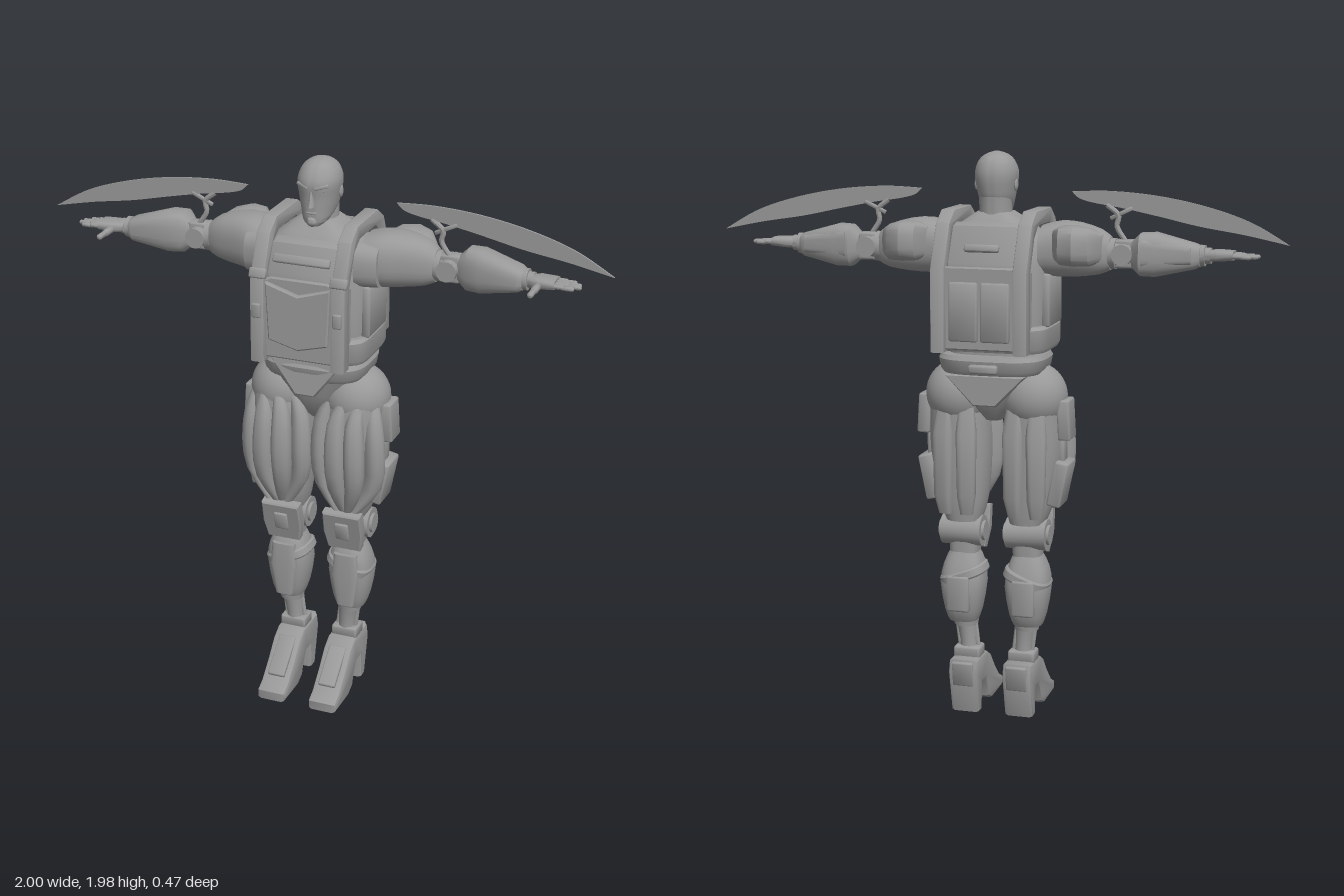
import * as THREE from 'three';
import { toCreasedNormals } from 'three/addons/utils/BufferGeometryUtils.js';
import { RoundedBoxGeometry } from 'three/addons/geometries/RoundedBoxGeometry.js';

const gray = new THREE.MeshStandardMaterial({ color: 0x999999 });
gray.name = 'plain gray';

// Catmull-Rom blend of one column of a section table
const blend = (a, b, c, d, t) =>
  b + 0.5 * t * (c - a + t * (2 * a - 5 * b + 4 * c - d + t * (3 * (b - c) + d - a)));

function refine(rows, steps) {
  const out = [], last = rows.length - 1;
  for (let i = 0; i < last; i++) for (let k = 0; k < steps; k++)
    out.push(rows[i].map((v, c) => blend(rows[Math.max(i - 1, 0)][c], v, rows[i + 1][c], rows[Math.min(i + 2, last)][c], k / steps)));
  out.push(rows[last]);
  return out;
}

// Superellipse loft up y; rows are [y, centreX, centreZ, radiusX, radiusZ]
function loft(rows, power = 2, segs = 24, steps = 1) {
  const secs = refine(rows, steps), pos = [], idx = [];
  const bend = (v) => Math.sign(v) * Math.pow(Math.abs(v), 2 / power);
  for (const [y, cx, cz, rx, rz] of secs) for (let j = 0; j < segs; j++) {
    const a = ((j + 0.5) / segs) * Math.PI * 2;
    pos.push(cx + rx * bend(Math.cos(a)), y, cz + rz * bend(Math.sin(a)));
  }
  const n = secs.length, at = (i, j) => i * segs + (j % segs);
  for (let i = 0; i < n - 1; i++) for (let j = 0; j < segs; j++) {
    idx.push(at(i, j), at(i + 1, j), at(i, j + 1), at(i, j + 1), at(i + 1, j), at(i + 1, j + 1));
  }
  const low = secs[0], top = secs[n - 1], c = n * segs;
  pos.push(low[1], low[0], low[2], top[1], top[0], top[2]);
  for (let j = 0; j < segs; j++) idx.push(c, at(0, j), at(0, j + 1), c + 1, at(n - 1, j + 1), at(n - 1, j));
  const g = new THREE.BufferGeometry();
  g.setAttribute('position', new THREE.Float32BufferAttribute(pos, 3));
  g.setIndex(idx);
  return g;
}

// The same loft along x; rows are [x, centreZ, centreY, radiusZ, radiusY]
function loftX(...args) {
  const g = loft(...args), p = g.attributes.position;
  for (let i = 0; i < p.count; i++) p.setXYZ(i, p.getY(i), p.getZ(i), p.getX(i));
  return g;
}

const outline = (pts) => new THREE.Shape(pts.map(([x, y]) => new THREE.Vector2(x, y)));

// Side outline of [z, y] points, extruded from x0 to x1
function sideProfile(pts, x0, x1, bevel = 0.006) {
  const g = new THREE.ExtrudeGeometry(outline(pts), {
    depth: x1 - x0 - 2 * bevel, bevelSize: bevel, bevelThickness: bevel, bevelOffset: -bevel, bevelSegments: 2 });
  return g.rotateY(-Math.PI / 2).translate(x1 - bevel, 0, 0);
}

// Front outline of [x, y] points, extruded from z0 to z1
function frontPlate(pts, z0, z1, bevel = 0.005) {
  return new THREE.ExtrudeGeometry(outline(pts), {
    depth: z1 - z0 - 2 * bevel, bevelSize: bevel, bevelThickness: bevel, bevelOffset: -bevel, bevelSegments: 1 }).translate(0, 0, z0 + bevel);
}

const box = (w, h, d, r = 0.008) => new RoundedBoxGeometry(w, h, d, 2, Math.min(r, w / 3, h / 3, d / 3));
const tube = (r, len, r2 = r) => new THREE.CylinderGeometry(r, r2, len, 20);

function put(parent, name, geo, pos = [0, 0, 0], rot = [0, 0, 0], side = 1) {
  let g = geo.index ? geo.toNonIndexed() : geo.clone();
  g.deleteAttribute('uv');
  g.deleteAttribute('normal');
  g.clearGroups();
  g.applyMatrix4(new THREE.Matrix4().makeRotationFromEuler(new THREE.Euler(...rot))).translate(...pos);
  if (side < 0) {
    // mirror and restore the corner order
    const a = g.attributes.position.array;
    for (let i = 0; i < a.length; i += 9) for (let k = 0; k < 3; k++)
      [a[i + 3 + k], a[i + 6 + k]] = [a[i + 6 + k], a[i + 3 + k]];
    g.scale(-1, 1, 1);
  }
  g = toCreasedNormals(g, 0.65);
  const m = new THREE.Mesh(g, gray);
  m.name = name;
  parent.add(m);
}

function buildHead(g) {
  put(g, 'skull', loft([[1.765, 0, 0.055, 0.022, 0.022], [1.782, 0, 0.04, 0.042, 0.042], [1.815, 0, 0.008, 0.057, 0.076],
    [1.86, 0, 0, 0.067, 0.085], [1.91, 0, 0, 0.073, 0.089], [1.95, 0, -0.003, 0.06, 0.072], [1.972, 0, -0.003, 0.036, 0.044], [1.982, 0, -0.003, 0.006, 0.008]], 2.1, 32, 4));
  put(g, 'neck', loft([[1.69, 0, -0.01, 0.075, 0.075], [1.75, 0, -0.012, 0.058, 0.064], [1.85, 0, -0.02, 0.055, 0.06]], 2, 24, 3));
  put(g, 'nose', loft([[1.835, 0, 0.084, 0.013, 0.02], [1.85, 0, 0.08, 0.011, 0.018], [1.892, 0, 0.076, 0.006, 0.012]], 2, 10));
  put(g, 'mouth', box(0.036, 0.007, 0.012), [0, 1.812, 0.08]);
  put(g, 'chin', new THREE.SphereGeometry(0.019, 14, 10), [0, 1.782, 0.073]);
  for (const s of [1, -1]) {
    put(g, 'brow', box(0.05, 0.011, 0.02), [0.031, 1.901, 0.073], [0, 0.4, 0.22], s);
    put(g, 'eye', box(0.026, 0.008, 0.008), [0.03, 1.886, 0.075], [0, 0.4, 0.15], s);
    put(g, 'ear', new THREE.SphereGeometry(0.018, 12, 8).scale(0.4, 1.2, 0.8), [0.069, 1.87, -0.008], [0, 0, 0], s);
  }
}

function buildTorso(g) {
  put(g, 'torsoCore', loft([[1.33, 0, -0.005, 0.185, 0.14], [1.42, 0, -0.005, 0.19, 0.145], [1.6, 0, -0.005, 0.195, 0.145],
    [1.69, 0, -0.005, 0.18, 0.125], [1.74, 0, -0.01, 0.12, 0.095], [1.78, 0, -0.01, 0.06, 0.06]], 3.5, 36));
  put(g, 'vestHem', loft([[1.315, 0, -0.003, 0.197, 0.15], [1.33, 0, -0.003, 0.204, 0.158], [1.395, 0, -0.003, 0.204, 0.162], [1.405, 0, -0.003, 0.195, 0.15]], 5, 40));
  put(g, 'collar', new THREE.TorusGeometry(0.082, 0.014, 10, 32), [0, 1.735, -0.01], [Math.PI / 2, 0, 0]);
  put(g, 'upperChestPlate', sideProfile([[0.1, 1.73], [0.14, 1.72], [0.185, 1.63], [0.185, 1.59], [0.1, 1.59]], -0.115, 0.115));
  put(g, 'chestBar', box(0.2, 0.03, 0.02), [0, 1.675, 0.168], [-0.46, 0, 0]);
  put(g, 'bellyPlate', frontPlate([[-0.16, 1.33], [0.16, 1.33], [0.16, 1.59], [0.1, 1.615], [-0.1, 1.615], [-0.16, 1.59]], 0.13, 0.195));
  put(g, 'bellyPanel', frontPlate([[-0.105, 1.4], [0, 1.372], [0.105, 1.4], [0.115, 1.6], [0, 1.565], [-0.115, 1.6]], 0.19, 0.212));
  put(g, 'backPack', frontPlate([[-0.16, 1.33], [0.16, 1.33], [0.16, 1.59], [0.13, 1.61], [-0.13, 1.61], [-0.16, 1.59]], -0.215, -0.13));
  put(g, 'upperBackPlate', sideProfile([[-0.1, 1.75], [-0.14, 1.74], [-0.2, 1.62], [-0.2, 1.6], [-0.1, 1.6]], -0.115, 0.115));
  for (const x of [-0.055, 0.055]) put(g, 'backPouch', box(0.1, 0.2, 0.025), [x, 1.46, -0.215]);
  put(g, 'backHandle', box(0.12, 0.025, 0.02), [0, 1.67, -0.185], [0.45, 0, 0]);
  const strap = sideProfile([[0.215, 1.315], [0.215, 1.6], [0.15, 1.75], [0.09, 1.79], [-0.1, 1.79], [-0.16, 1.75], [-0.23, 1.6], [-0.23, 1.32],
    [-0.18, 1.32], [-0.18, 1.59], [-0.13, 1.7], [-0.08, 1.74], [0.07, 1.74], [0.12, 1.71], [0.165, 1.6], [0.165, 1.315]], 0.118, 0.168);
  for (const s of [1, -1]) {
    put(g, 'shoulderStrap', strap, [0, 0, 0], [0, 0, 0], s);
    put(g, 'strapBuckle', box(0.06, 0.035, 0.02), [0.143, 1.625, 0.2], [-0.43, 0, 0], s);
    put(g, 'sidePouch', box(0.03, 0.18, 0.17), [0.193, 1.49, 0], [0, 0, 0], s);
    put(g, 'frontClip', box(0.03, 0.05, 0.015), [0.143, 1.5, 0.217], [0, 0, 0], s);
  }
}

function buildPelvis(g) {
  put(g, 'waist', loft([[1.24, 0, -0.005, 0.16, 0.115], [1.34, 0, -0.005, 0.155, 0.115]], 3, 32));
  put(g, 'belt', loft([[1.235, 0, -0.01, 0.172, 0.142], [1.25, 0, -0.01, 0.182, 0.152], [1.285, 0, -0.01, 0.188, 0.158], [1.3, 0, -0.01, 0.18, 0.15]], 3.2, 36));
  put(g, 'groin', loft([[1.065, 0, -0.01, 0.03, 0.055], [1.1, 0, -0.01, 0.055, 0.09], [1.17, 0, -0.01, 0.115, 0.115], [1.25, 0, -0.01, 0.165, 0.135]], 2.8, 32));
  put(g, 'frontGuard', frontPlate([[-0.035, 1.09], [0.035, 1.09], [0.145, 1.235], [-0.145, 1.235]], 0.03, 0.055), [0, 0.095, 0.195], [0.1, 0, 0].map((v) => -v * 0.9));
  put(g, 'rearGuard', frontPlate([[-0.04, 1.13], [0.04, 1.13], [0.14, 1.235], [-0.14, 1.235]], -0.16, -0.12));
  put(g, 'tailClip', box(0.1, 0.03, 0.03), [0, 1.26, -0.17]);
}

function buildLeg(g, s) {
  const add = (name, geo, pos, rot) => put(g, name, geo, pos, rot, s);
  add('hip', new THREE.SphereGeometry(0.118, 28, 20), [0.133, 1.148, -0.005]);
  add('thighCore', loft([[0.7, 0.115, -0.01, 0.062, 0.07], [0.78, 0.12, 0, 0.085, 0.09], [0.95, 0.13, 0.005, 0.105, 0.105], [1.1, 0.135, 0.005, 0.1, 0.11], [1.18, 0.14, 0, 0.09, 0.1]], 2.4, 28, 3));
  // petal shaped panels around the front of the thigh
  for (const [x, z, w, turn] of [[0.055, 0.07, 0.036, -0.75], [0.105, 0.094, 0.038, -0.2], [0.16, 0.092, 0.038, 0.3], [0.208, 0.055, 0.036, 0.85]])
    add('thighPanel', loft([[0.74, (0.118 - x) * 0.5, -0.03, w * 0.45, 0.025], [0.84, 0, 0, w * 0.85, 0.045], [0.96, 0, 0.012, w, 0.05], [1.08, 0, 0.006, w * 0.85, 0.042], [1.15, 0.01, -0.01, w * 0.5, 0.025]], 2.8, 16, 2), [x, 0, z], [0, turn, 0]);
  for (const [x, turn] of [[0.085, 0.2], [0.165, -0.2]])
    add('hamstringPanel', loft([[0.73, 0, 0.015, 0.022, 0.022], [0.8, 0, 0, 0.032, 0.028], [1.02, 0, 0, 0.036, 0.03], [1.13, 0, 0.015, 0.026, 0.02]], 4, 16), [x, 0, -0.09], [0, turn, 0]);
  add('upperSidePlate', box(0.045, 0.14, 0.09), [0.25, 1.075, -0.01], [0, 0, 0.06]);
  add('lowerSidePlate', box(0.05, 0.16, 0.115), [0.232, 0.85, -0.005], [0, 0, -0.2]);
  add('sidePlateLink', box(0.03, 0.16, 0.06), [0.232, 0.96, 0]);
  // knee
  add('kneeCore', loft([[0.56, 0.115, -0.005, 0.05, 0.05], [0.72, 0.115, 0, 0.06, 0.06]], 3, 20));
  add('kneeHinge', tube(0.055, 0.145), [0.117, 0.66, -0.018], [0, 0, Math.PI / 2]);
  add('kneeHub', tube(0.035, 0.165), [0.117, 0.66, -0.018], [0, 0, Math.PI / 2]);
  add('kneePad', frontPlate([[-0.06, 0.58], [0.06, 0.58], [0.072, 0.65], [0.07, 0.735], [-0.07, 0.735], [-0.072, 0.65]].map(([x, y]) => [x, y - 0.655]), -0.02, 0.02), [0.115, 0.655, 0.065], [0.25, 0, 0]);
  add('kneeBoss', box(0.05, 0.07, 0.02), [0.115, 0.66, 0.085], [0.25, 0, 0]);
  // shin and calf
  add('calf', loft([[0.33, 0.118, -0.01, 0.05, 0.05], [0.37, 0.118, -0.012, 0.064, 0.066], [0.47, 0.118, -0.012, 0.08, 0.078], [0.54, 0.117, -0.005, 0.07, 0.068], [0.585, 0.116, -0.005, 0.05, 0.05]], 2.8, 24, 2));
  add('shinPlate', loft([[0.35, 0, -0.005, 0.032, 0.018], [0.47, 0, 0, 0.05, 0.022], [0.555, 0, 0, 0.042, 0.018]], 4, 16), [0.118, 0, 0.055]);
  add('calfBand', loft([[-0.018, 0, 0, 0.08, 0.078], [-0.012, 0, 0, 0.085, 0.083], [0.012, 0, 0, 0.085, 0.083], [0.018, 0, 0, 0.08, 0.078]], 2.8, 28), [0.116, 0.5, -0.01], [0, 0, -0.35]);
  add('calfRearPlate', box(0.08, 0.13, 0.03), [0.118, 0.44, -0.082]);
  // ankle
  add('ankleRing', tube(0.046, 0.025, 0.042), [0.112, 0.322, -0.005]);
  add('ankle', loft([[0.19, 0.1, -0.01, 0.036, 0.036], [0.25, 0.102, -0.008, 0.03, 0.032], [0.34, 0.112, -0.005, 0.04, 0.042]], 2, 18, 2));
  for (const x of [0.072, 0.136]) add('anklePiston', tube(0.009, 0.12), [x, 0.27, -0.01], [0, 0, -0.12]);
  add('ankleCuff', box(0.095, 0.045, 0.075), [0.1, 0.212, -0.012]);
  // high heeled boot
  add('boot', sideProfile([[0.24, 0.005], [0.243, 0.04], [0.2, 0.06], [0.14, 0.115], [0.085, 0.175], [0.04, 0.2], [-0.09, 0.2], [-0.103, 0.15], [-0.065, 0],
    [-0.03, 0], [-0.025, 0.1], [0.02, 0.1], [0.045, 0.06], [0.06, 0.02], [0.1, 0]], 0.045, 0.152, 0.014));
  add('bootTongue', box(0.064, 0.155, 0.018), [0.098, 0.13, 0.132], [-0.87, 0, 0]);
  add('heelGuard', box(0.075, 0.09, 0.016), [0.098, 0.15, -0.098], [-0.15, 0, 0]);
}

function buildArm(g, s) {
  const add = (name, geo, pos, rot) => put(g, name, geo, pos, rot, s);
  add('shoulder', loftX([[0.17, -0.01, 1.655, 0.1, 0.085], [0.23, -0.01, 1.66, 0.098, 0.094], [0.3, -0.02, 1.66, 0.085, 0.09], [0.37, -0.025, 1.655, 0.065, 0.075], [0.405, -0.025, 1.65, 0.045, 0.055]], 2.6, 24, 2));
  add('shoulderPad', loftX([[0.22, -0.075, 1.68, 0.03, 0.05], [0.25, -0.095, 1.68, 0.06, 0.065], [0.3, -0.1, 1.68, 0.07, 0.068], [0.35, -0.085, 1.675, 0.062, 0.062], [0.385, -0.05, 1.67, 0.035, 0.045]], 3, 16));
  add('armpitGuard', loftX([[0.16, 0.02, 1.65, 0.1, 0.08], [0.235, 0.02, 1.65, 0.085, 0.075]], 3, 20));
  add('upperArm', loftX([[0.38, -0.025, 1.65, 0.042, 0.048], [0.47, -0.025, 1.65, 0.036, 0.04]], 2, 18));
  add('elbowRing', tube(0.052, 0.022), [0.412, 1.65, -0.025], [0, 0, Math.PI / 2]);
  add('elbowHinge', tube(0.035, 0.11), [0.45, 1.65, -0.022], [Math.PI / 2, 0, 0]);
  add('elbowCap', box(0.07, 0.095, 0.05), [0.452, 1.65, -0.022]);
  add('forearm', loftX([[0.48, -0.03, 1.65, 0.036, 0.045], [0.51, -0.035, 1.652, 0.06, 0.072], [0.56, -0.028, 1.652, 0.062, 0.074], [0.69, -0.01, 1.648, 0.05, 0.042], [0.705, -0.008, 1.648, 0.038, 0.034]], 3, 20));
  add('forearmPlate', loftX([[0.52, -0.075, 1.66, 0.022, 0.045], [0.68, -0.048, 1.652, 0.018, 0.03]], 4, 16));
  add('wrist', tube(0.027, 0.05), [0.715, 1.65, -0.005], [0, 0, Math.PI / 2]);
  add('cuff', tube(0.036, 0.016), [0.712, 1.65, -0.005], [0, 0, Math.PI / 2]);
  // hand
  add('palm', loftX([[0.725, 0, 1.65, 0.028, 0.018], [0.76, 0.003, 1.652, 0.042, 0.02], [0.815, 0.003, 1.653, 0.042, 0.016]], 3, 18));
  [0.875, 0.895, 0.89, 0.87].forEach((tip, i) => {
    const z = 0.035 - i * 0.021, half = (tip - 0.81) / 2;
    for (const k of [0, 1]) add('fingerJoint', new THREE.CapsuleGeometry(0.0088 - k * 0.001, half - 0.006, 4, 10), [0.81 + half * (k + 0.5), 1.652 - k * 0.002, z], [0, 0, Math.PI / 2]);
  });
  for (const k of [0, 1]) add('thumbJoint', new THREE.CapsuleGeometry(0.0125 - k * 0.002, 0.035, 4, 10), [0.762, 1.648, 0.065 + k * 0.045], [Math.PI / 2, 0, 0]);
  // curved blade above the arm
  const v = (p) => p.map(([x, y]) => new THREE.Vector2(x, y));
  const blade = new THREE.Shape();
  blade.moveTo(0.265, 1.852);
  blade.splineThru(v([[0.4, 1.856], [0.56, 1.843], [0.72, 1.812], [0.87, 1.763], [0.998, 1.692]]));
  blade.splineThru(v([[0.85, 1.722], [0.7, 1.746], [0.56, 1.776], [0.44, 1.8], [0.34, 1.816], [0.29, 1.83], [0.265, 1.852]]));
  add('blade', new THREE.ExtrudeGeometry(blade, { depth: 0.007, bevelEnabled: false, curveSegments: 30 }), [0, 0, -0.013]);
  const path = new THREE.CatmullRomCurve3([[0.385, 1.81], [0.425, 1.775], [0.42, 1.74], [0.45, 1.69]].map(([x, y]) => new THREE.Vector3(x, y, -0.01)));
  add('bladeStrut', new THREE.TubeGeometry(path, 16, 0.009, 8));
  add('bladeBrace', box(0.085, 0.014, 0.012), [0.435, 1.783, -0.01], [0, 0, 0.45]);
}

export function createModel() {
  const model = new THREE.Group();
  model.name = 'armoredFigure';
  const section = (name, build, side) => {
    const g = new THREE.Group();
    g.name = name;
    build(g, side);
    model.add(g);
  };
  section('head', buildHead);
  section('torso', buildTorso);
  section('pelvis', buildPelvis);
  for (const s of [1, -1]) {
    section(s > 0 ? 'leftLeg' : 'rightLeg', buildLeg, s);
    section(s > 0 ? 'leftArm' : 'rightArm', buildArm, s);
  }
  return model;
}
